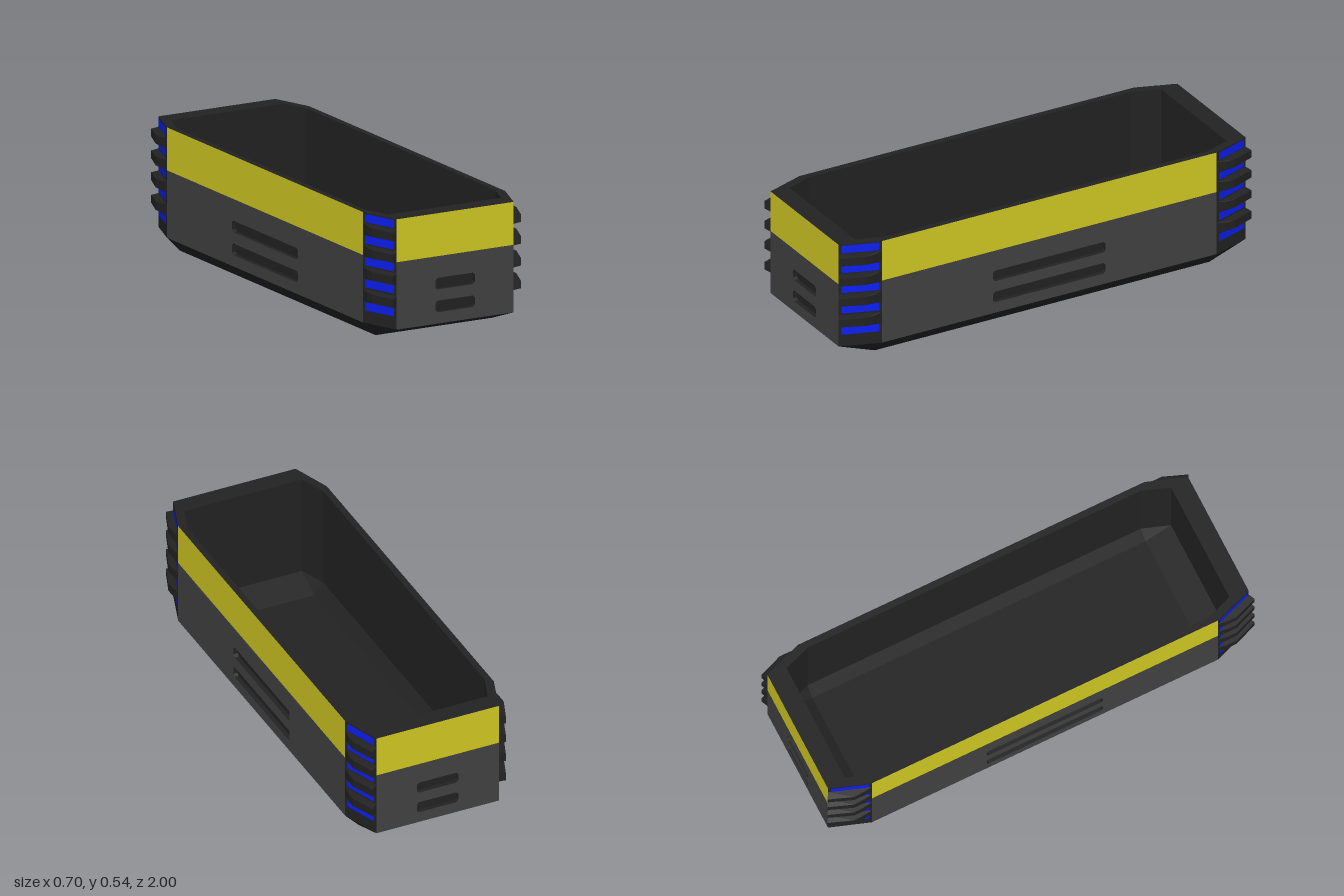
import * as THREE from 'three';
import { ConvexGeometry } from 'three/addons/geometries/ConvexGeometry.js';

const mat = (color) => new THREE.MeshStandardMaterial({ color, flatShading: true });
const DARK = mat(0x222222), GREY = mat(0x424242), YELLOW = mat(0xd2ca24), BLUE = mat(0x0c1ef0);

const X = 0.345, Z = 0.985, CX = 0.284, CZ = 0.81; // half sizes and where the cut corners begin
const LIP = 0.063, BAND = 0.355, TOP = 0.541;

// Eight-point ring, running along the front first; cx = x and cz = z gives a rectangle
function ring(y, x, z, cx, cz) {
  return [[-cx, z], [cx, z], [x, cz], [x, -cz], [cx, -z], [-cx, -z], [-x, -cz], [-x, cz]]
    .map(([a, b]) => new THREE.Vector3(a, y, b));
}

function buildShell() {
  const rings = [
    ring(0, CX, CZ, CX, CZ),
    ring(LIP, X, Z, CX, CZ),
    ring(TOP, X, Z, CX, CZ),
    ring(TOP, 0.316, 0.9, 0.273, 0.78),
    ring(0.08, 0.316, 0.9, 0.273, 0.78),
    ring(0.03, 0.273, 0.78, 0.273, 0.78),
  ];
  const pts = [];
  const tri = (a, b, c) => {
    if (a.distanceTo(b) > 1e-6 && b.distanceTo(c) > 1e-6 && a.distanceTo(c) > 1e-6) pts.push(a, b, c);
  };
  for (let k = 0; k < rings.length - 1; k++) {
    const a = rings[k], b = rings[k + 1];
    for (let i = 0; i < 8; i++) {
      if (k === 1 && i % 2 === 0) continue; // straight outer sides are separate panels
      const j = (i + 1) % 8;
      tri(a[i], a[j], b[j]);
      tri(a[i], b[j], b[i]);
    }
  }
  // underside and inner floor
  const u = rings[0], f = rings[5];
  tri(u[0], u[3], u[1]);
  tri(u[0], u[5], u[3]);
  tri(f[0], f[1], f[3]);
  tri(f[0], f[3], f[5]);
  const g = new THREE.BufferGeometry().setFromPoints(pts);
  g.computeVertexNormals();
  return g;
}

// Rectangle with clipped corners, for the slots
function slotPath(halfW, y0, y1, c = 0.01) {
  return new THREE.Path([
    [-halfW + c, y0], [-halfW, y0 + c], [-halfW, y1 - c], [-halfW + c, y1],
    [halfW - c, y1], [halfW, y1 - c], [halfW, y0 + c], [halfW - c, y0],
  ].map(([x, y]) => new THREE.Vector2(x, y)));
}

// One side: grey panel with two recessed slots below a yellow band
function buildSide(halfW, slotHalf) {
  const side = new THREE.Group();
  const depth = 0.02;
  const shape = new THREE.Shape([
    new THREE.Vector2(-halfW, LIP), new THREE.Vector2(halfW, LIP),
    new THREE.Vector2(halfW, BAND), new THREE.Vector2(-halfW, BAND),
  ]);
  shape.holes.push(slotPath(slotHalf, 0.112, 0.162), slotPath(slotHalf, 0.211, 0.261));
  const panel = new THREE.Mesh(new THREE.ExtrudeGeometry(shape, { depth, bevelEnabled: false }), [GREY, DARK]);
  panel.name = 'sidePanel';
  panel.position.z = -depth;

  const back = new THREE.Mesh(new THREE.PlaneGeometry(slotHalf * 2 + 0.02, 0.17), DARK);
  back.name = 'slotBacking';
  back.position.set(0, 0.187, -depth + 0.001);

  const band = new THREE.Mesh(new THREE.PlaneGeometry(halfW * 2, TOP - BAND), YELLOW);
  band.name = 'upperBand';
  band.position.y = (TOP + BAND) / 2;
  side.add(panel, back, band);
  return side;
}

// One cut corner: stacked lights with protruding fins between them
function buildCorner(sx, sz) {
  const corner = new THREE.Group();
  const dx = X - CX, dz = Z - CZ, len = Math.hypot(dx, dz);
  const nx = (sx * dz) / len, nz = (sz * dx) / len;
  for (const y of [0.136, 0.235, 0.331, 0.425, 0.518]) {
    const light = new THREE.Mesh(new THREE.PlaneGeometry(len * 0.87, 0.036), BLUE);
    light.name = 'cornerLight';
    light.position.set((sx * (X + CX)) / 2 + nx * 0.002, y, (sz * (Z + CZ)) / 2 + nz * 0.002);
    light.rotation.y = Math.atan2(nx, nz);
    corner.add(light);
  }
  // fin outline from above, with the half height at each point
  const outline = [[CX, Z, 0.025], [0.31, 1.0, 0.017], [0.35, 0.895, 0.019], [0.35, 0.852, 0.019], [X, CZ, 0.025]];
  for (const y of [0.184, 0.282, 0.377, 0.471]) {
    const pts = outline.flatMap(([x, z, h]) => [-h, h].map((d) => new THREE.Vector3(sx * x, y + d, sz * z)));
    const fin = new THREE.Mesh(new ConvexGeometry(pts), DARK);
    fin.name = 'cornerFin';
    corner.add(fin);
  }
  return corner;
}

export function createModel() {
  const model = new THREE.Group();
  model.name = 'planterBox';

  const shell = new THREE.Mesh(buildShell(), DARK);
  shell.name = 'shell';
  model.add(shell);

  for (let i = 0; i < 4; i++) {
    const isEnd = i % 2 === 0;
    const side = isEnd ? buildSide(CX, 0.096) : buildSide(CZ, 0.272);
    side.name = ['frontSide', 'leftSide', 'backSide', 'rightSide'][i];
    const a = (i * Math.PI) / 2, d = isEnd ? Z : X;
    side.position.set(Math.sin(a) * d, 0, Math.cos(a) * d);
    side.rotation.y = a;
    model.add(side);
  }

  for (const sx of [1, -1]) for (const sz of [1, -1]) {
    const corner = buildCorner(sx, sz);
    corner.name = (sz > 0 ? 'front' : 'back') + (sx > 0 ? 'Left' : 'Right') + 'Corner';
    model.add(corner);
  }
  return model;
}
